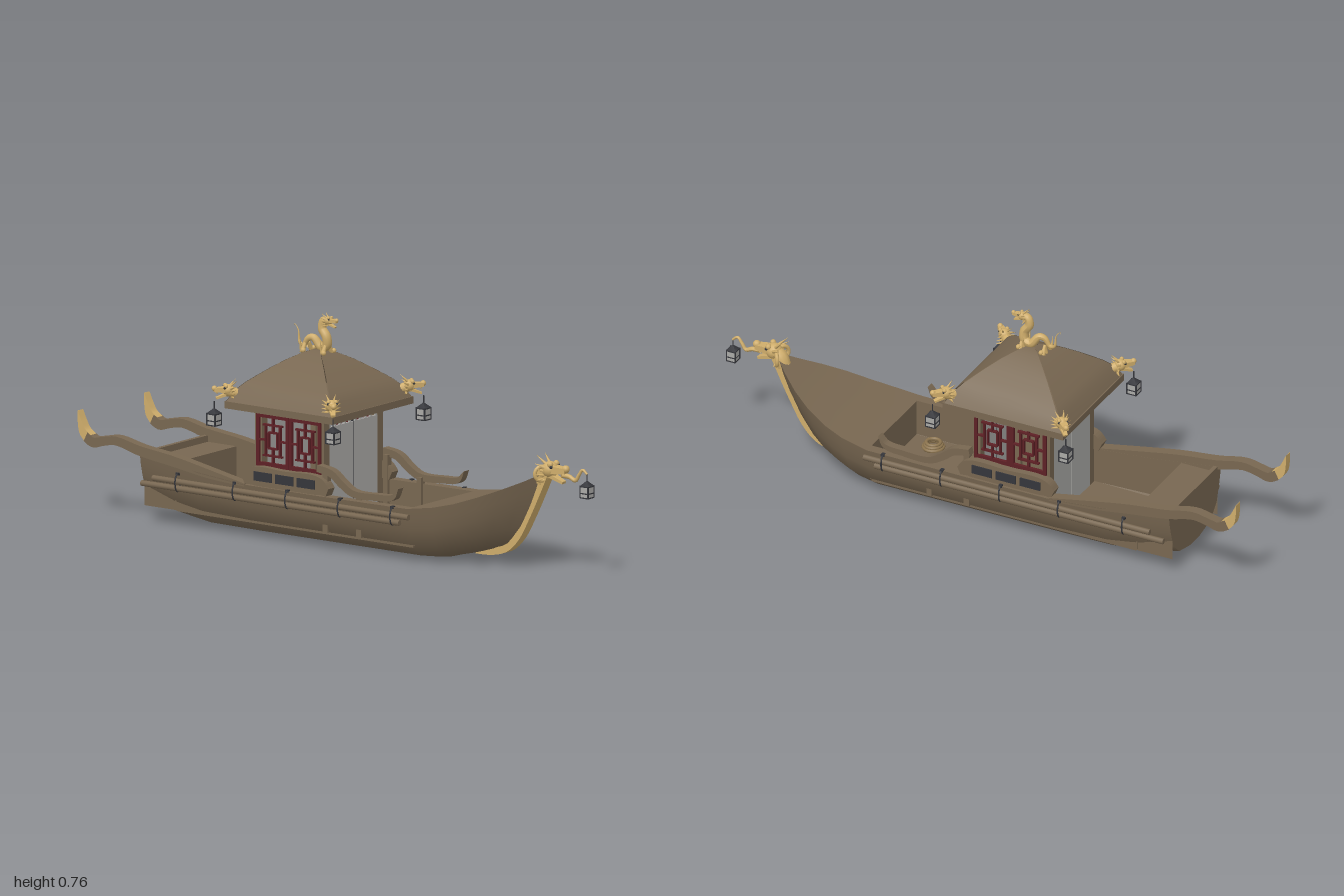
import * as THREE from 'three';

const mat = (name, color) => new THREE.MeshStandardMaterial({ name, color, side: THREE.DoubleSide });
const wood = mat('brown wood', 0x786751), gold = mat('carved gold', 0xcfad6b), red = mat('dark red lattice', 0x5e2025);
const paper = mat('grey screen', 0xaaa9a6), dark = mat('dark iron', 0x35363b), rope = mat('rope', 0x8d754f);
const V = (x, y, z) => new THREE.Vector3(x, y, z);

function add(parent, name, geo, m, x = 0, y = 0, z = 0) {
  const mesh = new THREE.Mesh(geo, m);
  mesh.name = name;
  mesh.position.set(x, y, z);
  parent.add(mesh);
  return mesh;
}
// box given by its limits
const block = (p, name, m, x0, x1, y0, y1, z0, z1) => add(p, name,
  new THREE.BoxGeometry(Math.abs(x1 - x0), y1 - y0, Math.abs(z1 - z0)), m, (x0 + x1) / 2, (y0 + y1) / 2, (z0 + z1) / 2);

// surface through rows of points
function loft(rows) {
  const n = rows[0].length, idx = [];
  for (let i = 0; i < rows.length - 1; i++) for (let j = 0; j < n - 1; j++) {
    const a = i * n + j, b = a + n;
    idx.push(a, b, a + 1, b, b + 1, a + 1);
  }
  const g = new THREE.BufferGeometry();
  g.setAttribute('position', new THREE.Float32BufferAttribute(rows.flat(2), 3));
  g.setIndex(idx);
  g.computeVertexNormals();
  return g;
}

// curved plank from [z, y, thickness] points, extruded across x
function plank(pts, width) {
  const curve = new THREE.CatmullRomCurve3(pts.map(p => V(...p))), top = [], low = [];
  for (let i = 0; i <= 30; i++) {
    const p = curve.getPoint(i / 30), t = curve.getTangent(i / 30), l = Math.hypot(t.x, t.y), h = p.z / 2;
    top.push(new THREE.Vector2(p.x - t.y / l * h, p.y + t.x / l * h));
    low.unshift(new THREE.Vector2(p.x + t.y / l * h, p.y - t.x / l * h));
  }
  return new THREE.ExtrudeGeometry(new THREE.Shape([...top, ...low]), { depth: width, bevelEnabled: false })
    .rotateY(-Math.PI / 2).translate(width / 2, 0, 0);
}

// tube whose radius follows rule(u)
function taperTube(pts, rule, n = 40, sides = 10) {
  const curve = new THREE.CatmullRomCurve3(pts.map(p => V(...p)));
  const g = new THREE.TubeGeometry(curve, n, 1, sides), pos = g.attributes.position, v = V(0, 0, 0);
  for (let i = 0; i < pos.count; i++) {
    const u = Math.floor(i / (sides + 1)) / n, c = curve.getPointAt(u);
    v.fromBufferAttribute(pos, i).sub(c).multiplyScalar(rule(u)).add(c);
    pos.setXYZ(i, v.x, v.y, v.z);
  }
  g.computeVertexNormals();
  return g;
}

// dragon head about one unit long, facing +z
function dragonHead(parent, name, x, y, z, scale, yaw = 0) {
  const h = new THREE.Group();
  h.name = name;
  const taper = (w, t, l) => {
    const g = new THREE.BoxGeometry(w, t, l), p = g.attributes.position;
    for (let i = 0; i < p.count; i++) if (p.getZ(i) > 0) p.setXY(i, p.getX(i) * 0.6, p.getY(i) * 0.65);
    g.computeVertexNormals();
    return g;
  };
  add(h, 'skull', new THREE.SphereGeometry(0.27, 14, 10), gold, 0, 0.08, 0.18);
  add(h, 'snout', taper(0.4, 0.26, 0.55), gold, 0, 0.1, 0.55);
  add(h, 'nose', new THREE.SphereGeometry(0.13, 10, 8), gold, 0, 0.16, 0.8);
  add(h, 'lowerJaw', taper(0.32, 0.13, 0.6), gold, 0, -0.18, 0.45).rotation.x = 0.35;
  for (const s of [-1, 1]) {
    add(h, 'eye', new THREE.SphereGeometry(0.06, 8, 6), dark, s * 0.19, 0.2, 0.36);
    add(h, 'brow', new THREE.SphereGeometry(0.1, 8, 6), gold, s * 0.16, 0.27, 0.3);
    add(h, 'horn', new THREE.ConeGeometry(0.06, 0.45, 8), gold, s * 0.16, 0.4, -0.05).rotation.set(-0.8, 0, -s * 0.3);
    for (let k = 0; k < 4; k++)
      add(h, 'mane', new THREE.ConeGeometry(0.08, 0.42, 6), gold, s * 0.28, 0.22 - k * 0.15, 0).rotation.set(-1.1, 0, -s * (0.6 + k * 0.3));
    add(h, 'fang', new THREE.ConeGeometry(0.03, 0.12, 6), gold, s * 0.1, -0.05, 0.7).rotation.x = Math.PI;
  }
  h.position.set(x, y, z);
  h.rotation.y = yaw;
  h.scale.setScalar(scale);
  parent.add(h);
}

// hanging lantern, y is the top of its hook
function lantern(parent, x, y, z, w = 0.034) {
  const l = new THREE.Group(), r = w / 2;
  l.name = 'lantern';
  add(l, 'chain', new THREE.CylinderGeometry(0.0025, 0.0025, 0.026, 6), dark, 0, -0.013, 0);
  add(l, 'cap', new THREE.ConeGeometry(w * 0.75, 0.018, 4), dark, 0, -0.032, 0).rotation.y = Math.PI / 4;
  block(l, 'glass', paper, -r, r, -0.08, -0.041, -r, r);
  for (const t of [-0.083, -0.068, -0.045]) block(l, 'band', dark, -r - 0.001, r + 0.001, t, t + 0.004, -r - 0.001, r + 0.001);
  for (const a of [-r, r]) for (const b of [-r, r]) block(l, 'bar', dark, a - 0.002, a + 0.002, -0.082, -0.04, b - 0.002, b + 0.002);
  l.position.set(x, y, z);
  parent.add(l);
}

export function createModel() {
  const boat = new THREE.Group();
  boat.name = 'boat';

  // hull stations: sheer z, keel z, half width, sheer y, keel y
  const stations = [[-0.745, -0.745, 0.19, 0.24, 0.04], [-0.62, -0.62, 0.197, 0.222, 0.017], [-0.5, -0.5, 0.2, 0.205, 0], [-0.3, -0.3, 0.2, 0.187, 0],
    [0, 0, 0.2, 0.187, 0], [0.38, 0.38, 0.2, 0.19, 0], [0.48, 0.44, 0.188, 0.205, 0.008], [0.55, 0.48, 0.17, 0.222, 0.02], [0.63, 0.52, 0.14, 0.25, 0.03],
    [0.7, 0.56, 0.1, 0.279, 0.042], [0.76, 0.59, 0.055, 0.307, 0.05], [0.81, 0.62, 0.014, 0.335, 0.055]];
  const half = [[1, 1], [0.97, 0.8], [0.92, 0.6], [0.83, 0.33], [0.6, 0.1], [0.18, 0.01]];
  const section = [...half, ...half.map(([x, v]) => [-x, v]).reverse()];
  const ring = ([zs, zk, w, ys, yk]) => section.map(([x, v]) => [x * w, yk + (ys - yk) * v, zk + (zs - zk) * Math.sqrt(v)]);
  add(boat, 'hull', loft(stations.map(ring)), wood);
  const stern = ring(stations[0]);
  add(boat, 'transom', loft(stern.slice(0, 6).map((p, i) => [p, stern[11 - i]])), wood);
  add(boat, 'foredeck', loft(stations.slice(5).map(s => [-1, -0.5, 0, 0.5, 1].map(k => [k * s[2], s[3], s[0]]))), wood);

  // open well with floor and bulkheads
  block(boat, 'floor', wood, -0.164, 0.164, 0.052, 0.06, -0.61, 0.38);
  block(boat, 'foreBulkhead', wood, -0.165, 0.165, 0.06, 0.189, 0.38, 0.386);
  block(boat, 'aftBulkhead', wood, -0.165, 0.165, 0.06, 0.215, -0.616, -0.61);
  block(boat, 'sternDeck', wood, -0.185, 0.185, 0.208, 0.218, -0.742, -0.61);
  block(boat, 'sternSill', wood, -0.18, 0.18, 0.218, 0.24, -0.745, -0.73);

  for (const s of [-1, 1]) {
    add(boat, 'gunwale', loft(stations.slice(0, 6).map(t => [[s * t[2], t[3], t[0]], [s * 0.164, t[3], t[0]], [s * 0.164, 0.055, t[0]]])).toNonIndexed(), wood)
      .geometry.computeVertexNormals();

    // rising stern rail with gilded tip
    add(boat, 'sternRail', plank([[-0.3, 0.185, 0.01], [-0.45, 0.204, 0.03], [-0.6, 0.228, 0.036], [-0.74, 0.246, 0.034], [-0.84, 0.267, 0.03],
      [-0.895, 0.258, 0.03], [-0.935, 0.25, 0.034], [-0.965, 0.265, 0.034]], 0.035), wood, s * 0.182);
    add(boat, 'railTip', plank([[-0.955, 0.258, 0.036], [-0.978, 0.28, 0.03], [-0.99, 0.31, 0.018], [-1, 0.35, 0.001]], 0.03), gold, s * 0.182);

    // curved handrail and its posts
    add(boat, 'handrail', plank([[0.34, 0.252, 0.001], [0.315, 0.219, 0.018], [0.25, 0.211, 0.022], [0.15, 0.211, 0.024], [0.1, 0.238, 0.026],
      [0.06, 0.267, 0.026], [0, 0.279, 0.024]], 0.028), wood, s * 0.18);
    for (const z of [0.16, 0.02]) block(boat, 'railPost', wood, s * 0.155, s * 0.175, 0.06, z > 0.1 ? 0.21 : 0.27, z - 0.01, z + 0.01);

    // punting poles lashed along the side
    for (const [y, z0, z1, x] of [[0.162, -0.68, 0.39, 0.201], [0.138, -0.73, 0.35, 0.198]]) {
      add(boat, 'pole', new THREE.CylinderGeometry(0.01, 0.01, z1 - z0, 10).rotateX(Math.PI / 2), wood, s * x, y, (z0 + z1) / 2);
    }
    for (const z of [0.32, 0.1, -0.12, -0.34, -0.58]) {
      add(boat, 'lashing', new THREE.TorusGeometry(0.03, 0.003, 6, 18), dark, s * 0.198, 0.158, z).scale.x = 0.5;
      block(boat, 'cleat', dark, s * 0.19, s * 0.203, 0.183, 0.192, z - 0.006, z + 0.006);
    }

    // cabin plinth with dark vents
    add(boat, 'plinth', plank([[0.04, 0.2, 0.03], [0, 0.218, 0.062], [-0.14, 0.218, 0.064], [-0.27, 0.218, 0.062], [-0.31, 0.2, 0.03]], 0.035), wood, s * 0.174);
    for (const z of [-0.01, -0.1, -0.19]) block(boat, 'vent', dark, s * 0.191, s * 0.195, 0.205, 0.236, z, z - 0.075);
  }

  // gilded stem
  const stem = [[0.53, 0.045], [0.6, 0.049], [0.655, 0.066], [0.7, 0.11], [0.74, 0.18], [0.78, 0.26], [0.815, 0.335]];
  add(boat, 'stem', plank(stem.map(p => [...p, 0.034]), 0.038), gold);

  // bow dragon with hook and lantern
  add(boat, 'bowNeck', taperTube([[0, 0.3, 0.79], [0, 0.335, 0.805], [0, 0.35, 0.84]], () => 0.024, 10), gold);
  dragonHead(boat, 'bowDragon', 0, 0.34, 0.81, 0.105);
  for (const s of [-1, 1]) add(boat, 'maneCurl', new THREE.TorusGeometry(0.024, 0.007, 8, 18), gold, s * 0.022, 0.335, 0.81).rotation.y = s * 0.6;
  add(boat, 'hook', taperTube([[0, 0.335, 0.88], [0, 0.333, 0.91], [0, 0.324, 0.935], [0, 0.345, 0.95], [0, 0.363, 0.965], [0, 0.35, 0.984]],
    u => 0.009 - 0.005 * u), gold);
  lantern(boat, 0, 0.353, 0.983, 0.032);

  // cabin posts, side walls, lattices and end screens
  const cabin = new THREE.Group();
  cabin.name = 'cabin';
  boat.add(cabin);
  for (const s of [-1, 1]) {
    for (const z of [-0.01, -0.27]) block(cabin, 'cornerPost', wood, s * 0.132, s * 0.161, 0.06, 0.445, z - 0.015, z + 0.015);
    block(cabin, 'lowerWall', wood, s * 0.145, s * 0.16, 0.06, 0.25, -0.27, -0.01);
    block(cabin, 'sideBeam', wood, s * 0.14, s * 0.163, 0.428, 0.445, -0.285, 0.005);
    const bar = (z0, z1, y0, y1) => block(cabin, 'latticeBar', red, s * 0.157, s * 0.168, y0, y1, z0, z1);
    for (const c of [-0.072, -0.207]) {
      for (const k of [-1, 1]) {
        bar(c + k * 0.055, c + k * 0.067, 0.252, 0.43);
        bar(c + k * 0.03 - 0.003, c + k * 0.03 + 0.003, 0.29, 0.395);
        bar(c - 0.003, c + 0.003, k < 0 ? 0.262 : 0.37, k < 0 ? 0.315 : 0.42);
        const y = 0.341 + k * 0.083;
        bar(c - 0.067, c + 0.067, y - 0.007, y + 0.007);
        bar(c - 0.04, c + 0.04, 0.341 + k * 0.052 - 0.003, 0.341 + k * 0.052 + 0.003);
        bar(c + k * 0.03, c + k * 0.06, 0.338, 0.344);
        bar(c - 0.018, c + 0.018, 0.341 + k * 0.027 - 0.003, 0.341 + k * 0.027 + 0.003);
        bar(c + k * 0.018 - 0.003, c + k * 0.018 + 0.003, 0.314, 0.368);
      }
    }
    // sliding screens below an open transom of small slots
    for (const z of [0, -0.28]) block(cabin, 'screen', paper, s * 0.002, s * 0.133, 0.06, 0.408, z - 0.004, z + 0.004);
  }
  for (const z of [0, -0.28]) {
    block(cabin, 'header', wood, -0.14, 0.14, 0.426, 0.445, z - 0.008, z + 0.008);
    block(cabin, 'screenGap', dark, -0.003, 0.003, 0.06, 0.426, z - 0.003, z + 0.003);
    for (let i = 0; i < 10; i++) block(cabin, 'slotDivider', paper, -0.126 + i * 0.028 - 0.003, -0.126 + i * 0.028 + 0.003, 0.406, 0.428, z - 0.004, z + 0.004);
  }

  // hipped roof with curved slopes, eave and crown
  const roof = new THREE.Group();
  roof.name = 'roof';
  roof.position.z = -0.14;
  boat.add(roof);
  block(roof, 'eave', wood, -0.222, 0.222, 0.442, 0.466, -0.226, 0.226);
  const slope = [[1, 0.466], [0.9, 0.505], [0.79, 0.53], [0.66, 0.553], [0.52, 0.577], [0.36, 0.602], [0.2, 0.622], [0.1, 0.632], [0, 0.635]];
  for (let k = 0; k < 4; k++) {
    add(roof, 'roofSlope', loft(slope.map(([f, y]) => [-1, 0, 1].map(t => [t * f * 0.218, y, f * 0.222]))), wood).rotation.y = k * Math.PI / 2;
  }

  // corner dragons carrying lanterns
  for (const sx of [-1, 1]) for (const sz of [-1, 1]) {
    add(roof, 'cornerNeck', taperTube([[sx * 0.175, 0.485, sz * 0.18], [sx * 0.2, 0.495, sz * 0.2], [sx * 0.218, 0.5, sz * 0.22]], () => 0.017, 8), gold);
    dragonHead(roof, 'cornerDragon', sx * 0.203, 0.498, sz * 0.207, 0.075, Math.atan2(sx, sz));
    lantern(roof, sx * 0.248, 0.468, sz * 0.249);
  }

  // crowning dragon
  add(roof, 'dragonBody', taperTube([[0, 0.735, 0.04], [0, 0.735, 0.02], [0, 0.708, 0.014], [0, 0.68, 0.032], [0.004, 0.65, 0.03], [0.006, 0.642, 0.005],
    [0, 0.672, -0.022], [-0.005, 0.668, -0.04], [-0.006, 0.642, -0.06], [0, 0.65, -0.08], [0, 0.69, -0.086], [0, 0.71, -0.102], [0, 0.692, -0.104]],
    u => 0.012 + 0.005 * Math.sin(u * 5) - 0.007 * u * u, 70), gold);
  dragonHead(roof, 'crownDragon', 0, 0.732, 0.03, 0.055);
  for (const s of [-1, 1]) for (const z of [0.035, -0.05]) {
    add(roof, 'leg', new THREE.CylinderGeometry(0.006, 0.009, 0.035, 8), gold, s * 0.018, 0.637, z).rotation.z = s * 0.5;
    add(roof, 'legFlame', new THREE.ConeGeometry(0.006, 0.045, 6), gold, s * 0.023, 0.652, z - 0.01).rotation.z = -s * 0.2;
    add(roof, 'claw', new THREE.SphereGeometry(0.009, 8, 6), gold, s * 0.028, 0.63, z + 0.006);
  }

  // coiled rope and loose pole on deck
  for (let i = 0; i < 3; i++) add(boat, 'ropeCoil', new THREE.TorusGeometry(0.034 - i * 0.005, 0.006, 8, 20).rotateX(Math.PI / 2), rope, -0.11, 0.066 + i * 0.008, 0.29);
  add(boat, 'loosePole', new THREE.CylinderGeometry(0.005, 0.005, 0.24, 8).rotateX(Math.PI / 2), wood, 0.142, 0.066, 0.21);
  return boat;
}
